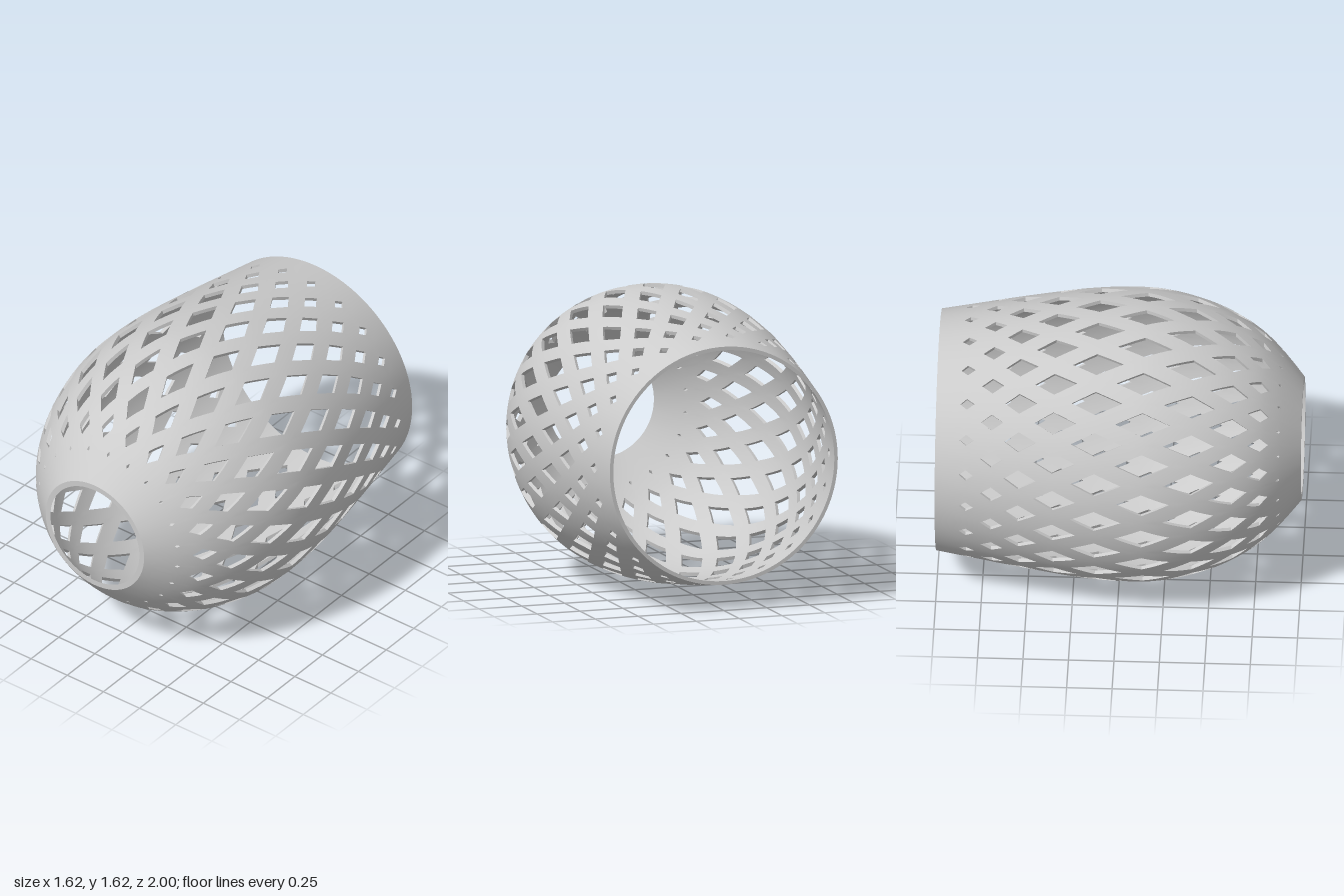
import * as THREE from 'three';
import { toCreasedNormals } from 'three/addons/utils/BufferGeometryUtils.js';

const COLUMNS = 22;
const P = Math.PI / COLUMNS; // half a column, in radians
const AXIS_Y = 0.81;
const THICKNESS = 0.02;

// Outer radius every 0.2 along z, with one extra point past each open end
const RADII = [0.63, 0.665, 0.70, 0.735, 0.767, 0.795, 0.809, 0.805, 0.765, 0.69, 0.56, 0.34, 0.06];
const profile = new THREE.SplineCurve(RADII.map((r, i) => new THREE.Vector2(-1.2 + i * 0.2, r)));
const radiusAt = (z) => profile.getPoint((z + 1.2) / 2.4).y;

// Rows of diamonds: centre z (first and last are only lattice tips) and opening fraction
const ROW_Z = [-0.95, -0.83, -0.69, -0.54, -0.35, -0.12, 0.14, 0.41, 0.63, 0.78, 0.88, 0.95];
const OPENING = [0, 0.3, 0.42, 0.52, 0.55, 0.57, 0.57, 0.57, 0.56, 0.45, 0.12, 0];

// Point on the outer or inner skin for [angle, z]
function skin([a, z], inner) {
  let r = radiusAt(z);
  if (inner) {
    const slope = (radiusAt(z + 0.01) - radiusAt(z - 0.01)) / 0.02;
    r -= THICKNESS * Math.hypot(1, slope);
  }
  return [r * Math.sin(a), AXIS_Y + r * Math.cos(a), z];
}

const mix = (a, b, t) => [a[0] + (b[0] - a[0]) * t, a[1] + (b[1] - a[1]) * t];

function toMesh(positions, name, material) {
  const geometry = new THREE.BufferGeometry();
  geometry.setAttribute('position', new THREE.Float32BufferAttribute(positions, 3));
  const mesh = new THREE.Mesh(toCreasedNormals(geometry, 0.6), material);
  mesh.name = name;
  return mesh;
}

export function createModel() {
  const group = new THREE.Group();
  group.name = 'latticeShell';
  const material = new THREE.MeshStandardMaterial({ color: 0xcccccc });

  const quad = (out, a, b, c, d) => out.push(...a, ...b, ...c, ...a, ...c, ...d);

  // Both skins over a four-cornered patch of the (angle, z) plane
  function patch(out, a, b, c, d, nu = 4, nv = 2) {
    const at = (i, j) => mix(mix(a, b, i / nu), mix(d, c, i / nu), j / nv);
    for (let i = 0; i < nu; i++) {
      for (let j = 0; j < nv; j++) {
        const q = [at(i, j), at(i + 1, j), at(i + 1, j + 1), at(i, j + 1)];
        quad(out, ...q.map((p) => skin(p, true)));
        quad(out, ...q.reverse().map((p) => skin(p, false)));
      }
    }
  }

  // Cut face joining the outer skin to the inner one along an edge
  function wall(out, a, b, n = 4) {
    for (let i = 0; i < n; i++) {
      const p = mix(a, b, i / n), q = mix(a, b, (i + 1) / n);
      quad(out, skin(p, false), skin(p, true), skin(q, true), skin(q, false));
    }
  }

  // Lattice: every diamond cell is a frame around a smaller diamond opening
  const lattice = [];
  const last = ROW_Z.length - 1;
  for (let row = 1; row < last; row++) {
    const z = ROW_Z[row];
    for (let col = 0; col < COLUMNS; col++) {
      const a = (2 * col + (row % 2)) * P;
      const cell = [[a, ROW_Z[row - 1]], [a + P, z], [a, ROW_Z[row + 1]], [a - P, z]];
      const hole = cell.map((corner) => mix([a, z], corner, OPENING[row]));
      for (let k = 0; k < 4; k++) {
        const n = (k + 1) % 4;
        patch(lattice, cell[k], cell[n], hole[n], hole[k]);
        wall(lattice, hole[k], hole[n]);
      }
    }
  }
  // Solid bands from the zigzag lattice border to the flat open rims
  for (let j = 0; j < 2 * COLUMNS; j++) {
    const a = j * P, b = (j + 1) * P;
    const back = (k) => (k % 2 ? ROW_Z[0] : ROW_Z[1]);
    const front = (k) => (k % 2 ? ROW_Z[last - 1] : ROW_Z[last]);
    patch(lattice, [a, -1], [b, -1], [b, back(j + 1)], [a, back(j)]);
    patch(lattice, [a, front(j)], [b, front(j + 1)], [b, 1], [a, 1]);
  }
  group.add(toMesh(lattice, 'latticeWall', material));

  // Rim faces closing the thickness at both openings
  const frontRim = [], backRim = [];
  for (let j = 0; j < 2 * COLUMNS; j++) {
    wall(frontRim, [j * P, 1], [(j + 1) * P, 1]);
    wall(backRim, [(j + 1) * P, -1], [j * P, -1]);
  }
  group.add(toMesh(frontRim, 'frontRim', material), toMesh(backRim, 'backRim', material));
  return group;
}
